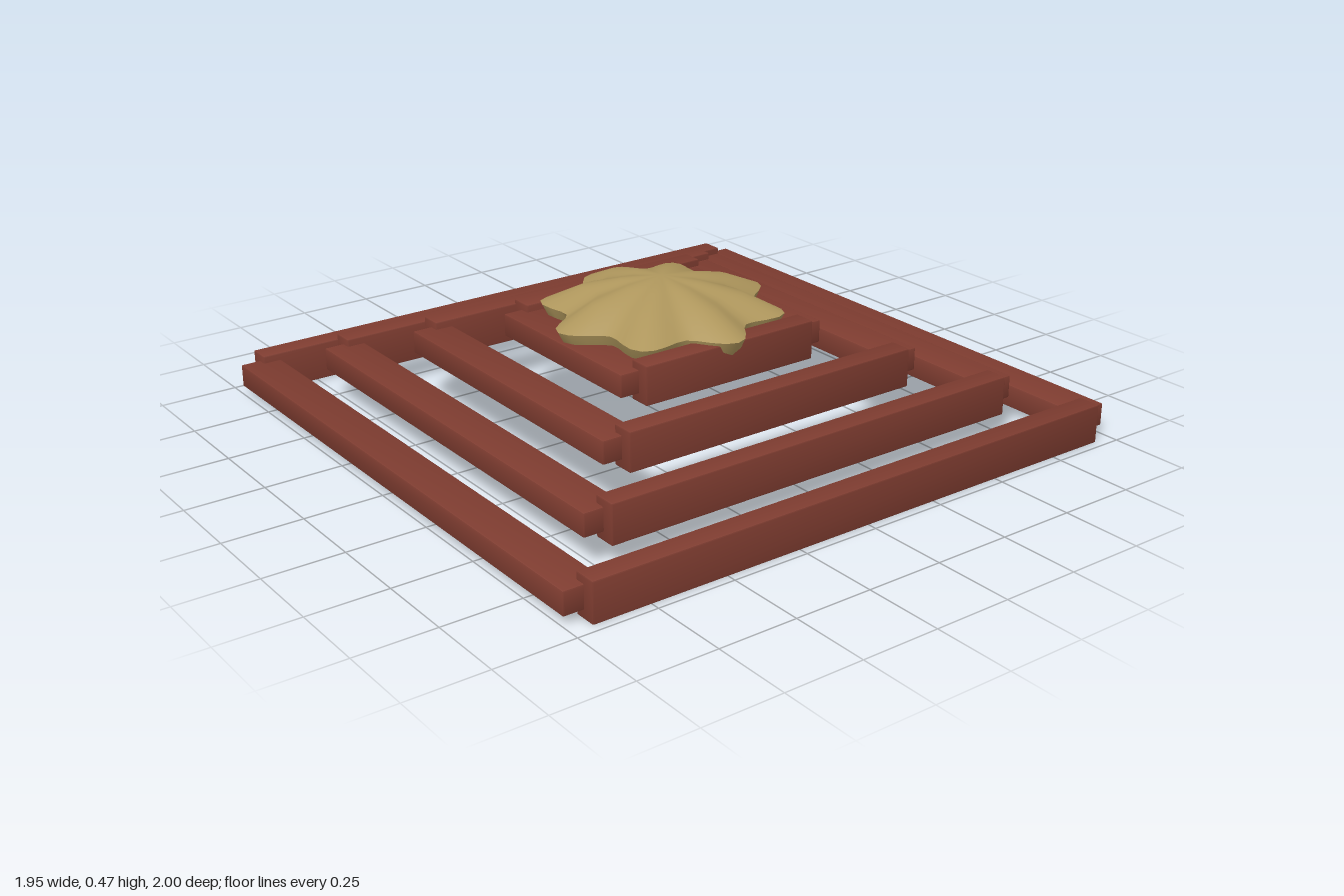
import * as THREE from 'three';
import { mergeVertices, toCreasedNormals } from 'three/addons/utils/BufferGeometryUtils.js';
import { RoundedBoxGeometry } from 'three/addons/geometries/RoundedBoxGeometry.js';

const wood = new THREE.MeshStandardMaterial({ color: 0x7e3c30 });
const gold = new THREE.MeshStandardMaterial({ color: 0xae965c });

function beam(name, w, h, d, x, y, z) {
  const geometry = toCreasedNormals(new RoundedBoxGeometry(w, h, d, 1, 0.004), 0.5);
  const mesh = new THREE.Mesh(geometry, wood);
  mesh.name = name;
  mesh.position.set(x, y, z);
  return mesh;
}

// Square frame of four interlocking beams; half is the half-length of each beam
function frame(half, base) {
  const group = new THREE.Group();
  group.name = 'beamFrame';
  for (const s of [1, -1]) {
    const side = s > 0 ? 'left' : 'right';
    const end = s > 0 ? 'front' : 'back';
    group.add(beam(side + 'Beam', 0.073, 0.125, half * 2, s * (half + 0.002), base + 0.0625, 0));
    group.add(beam(end + 'Beam', half * 2, 0.073, 0.125, 0, base + 0.0645, s * (half + 0.0015)));
  }
  return group;
}

// Shallow dome whose outline swells into eight lobes
function lobedDome() {
  const profile = [
    [0, 0.3], [0.345, 0.3], [0.365, 0.325], [0.384, 0.36],
    [0.255, 0.418], [0.13, 0.447], [0, 0.465],
  ].map(([r, y]) => new THREE.Vector2(r, y));
  let geometry = new THREE.LatheGeometry(profile, 64);
  const pos = geometry.attributes.position;
  for (let i = 0; i < pos.count; i++) {
    const x = pos.getX(i), z = pos.getZ(i);
    const scale = 0.89 + 0.11 * Math.cos(8 * Math.atan2(x, z));
    pos.setXYZ(i, x * scale, pos.getY(i), z * scale);
  }
  geometry.deleteAttribute('uv');
  geometry.deleteAttribute('normal');
  geometry = toCreasedNormals(mergeVertices(geometry, 1e-5), 0.75);
  const mesh = new THREE.Mesh(geometry, gold);
  mesh.name = 'lobedDome';
  return mesh;
}

export function createModel() {
  const model = new THREE.Group();
  model.name = 'steppedCeiling';
  // Four frames, each smaller and higher than the last
  [0.935, 0.733, 0.525, 0.315].forEach((half, i) => model.add(frame(half, i * 0.075)));
  model.add(lobedDome());
  return model;
}
